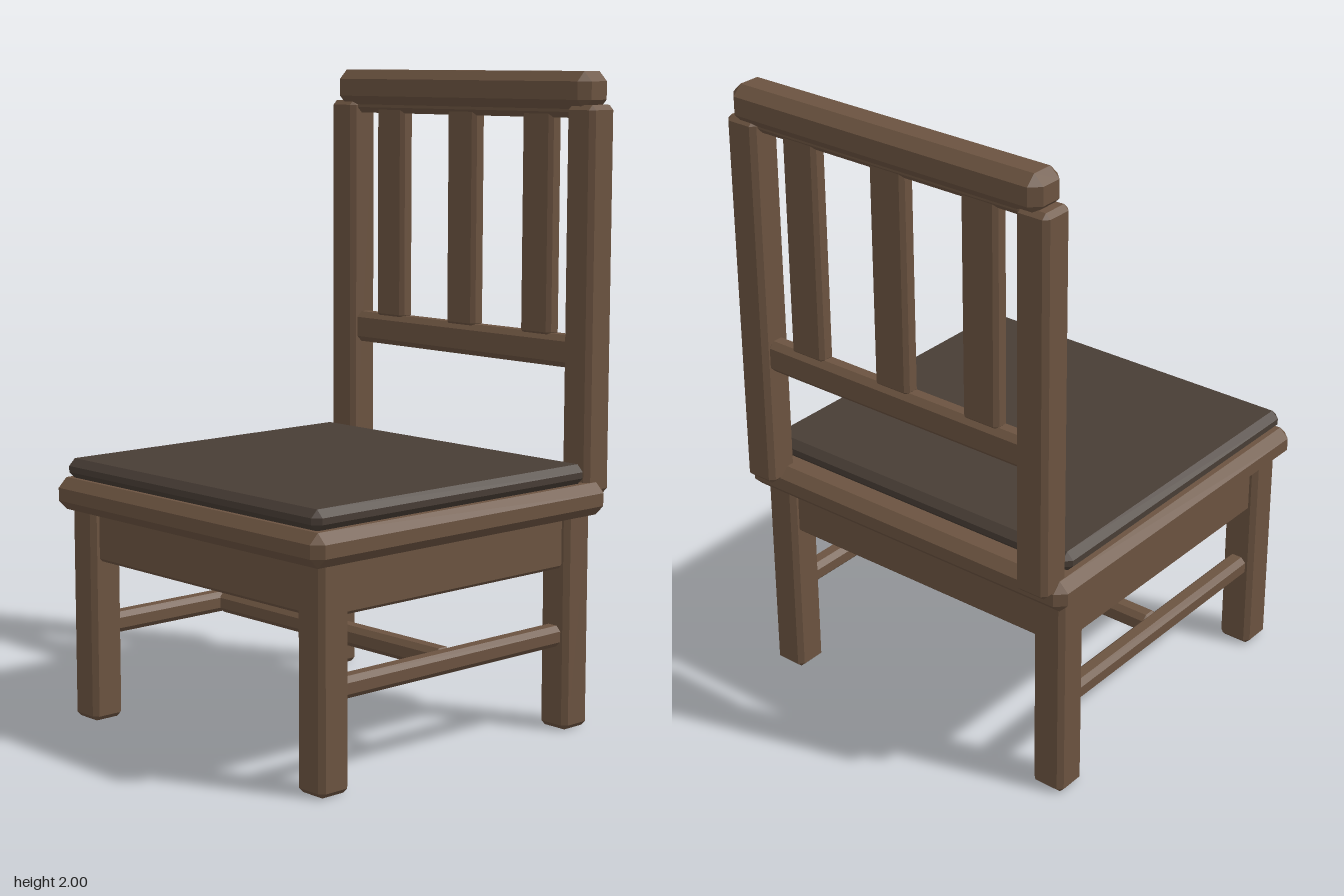
import * as THREE from 'three';
import { ConvexGeometry } from 'three/addons/geometries/ConvexGeometry.js';

const wood = new THREE.MeshStandardMaterial({ color: 0x6b5340 });
const fabric = new THREE.MeshStandardMaterial({ color: 0x483d35 });

// Box with flat chamfers on every edge: each corner is cut into three points
function chamferedBox(w, h, d, c) {
  const points = [];
  for (const sx of [-1, 1]) for (const sy of [-1, 1]) for (const sz of [-1, 1]) {
    for (let face = 0; face < 3; face++) {
      const cut = [c, c, c];
      cut[face] = 0;
      points.push(new THREE.Vector3(
        sx * (w / 2 - cut[0]), sy * (h / 2 - cut[1]), sz * (d / 2 - cut[2])));
    }
  }
  return new ConvexGeometry(points);
}

export function createModel() {
  const chair = new THREE.Group();
  chair.name = 'chair';

  // Adds a chamfered block from its [min, max] extents
  function block(name, [x0, x1], [y0, y1], [z0, z1], chamfer, material = wood) {
    const mesh = new THREE.Mesh(chamferedBox(x1 - x0, y1 - y0, z1 - z0, chamfer), material);
    mesh.position.set((x0 + x1) / 2, (y0 + y1) / 2, (z0 + z1) / 2);
    mesh.name = name;
    chair.add(mesh);
  }

  // Seat board, its dark underside panel and the cushion
  block('seat', [-0.61, 0.61], [0.66, 0.76], [-0.575, 0.625], 0.03);
  block('seatUnderside', [-0.48, 0.48], [0.65, 0.67], [-0.43, 0.48], 0.002, fabric);
  block('cushion', [-0.58, 0.58], [0.757, 0.82], [-0.505, 0.6], 0.022, fabric);

  // Parts mirrored left and right
  for (const [side, s] of [['left', 1], ['right', -1]]) {
    const span = (a, b) => (s > 0 ? [a, b] : [-b, -a]);
    block(side + 'FrontLeg', span(0.468, 0.578), [0, 0.7], [0.47, 0.58], 0.015);
    block(side + 'BackLeg', span(0.468, 0.578), [0, 0.7], [-0.528, -0.42], 0.015);
    block(side + 'Apron', span(0.495, 0.555), [0.505, 0.68], [-0.44, 0.49], 0.01);
    block(side + 'Stretcher', span(0.49, 0.555), [0.26, 0.325], [-0.44, 0.49], 0.016);
    block(side + 'BackPost', span(0.468, 0.578), [0.72, 1.9], [-0.612, -0.505], 0.015);
  }

  // Aprons and the cross stretcher between the sides
  block('frontApron', [-0.485, 0.485], [0.505, 0.68], [0.495, 0.555], 0.01);
  block('backApron', [-0.485, 0.485], [0.505, 0.68], [-0.505, -0.445], 0.01);
  block('crossStretcher', [-0.51, 0.51], [0.26, 0.325], [-0.007, 0.058], 0.016);

  // Back rest: cap, rails and slats
  block('topCap', [-0.553, 0.553], [1.885, 2], [-0.625, -0.497], 0.03);
  block('upperRail', [-0.485, 0.485], [1.86, 1.95], [-0.593, -0.525], 0.018);
  block('lowerRail', [-0.485, 0.485], [1.1, 1.2], [-0.593, -0.525], 0.018);
  for (const x of [-0.325, 0, 0.325]) {
    block('slat', [x - 0.063, x + 0.063], [1.19, 1.9], [-0.586, -0.532], 0.012);
  }

  return chair;
}
